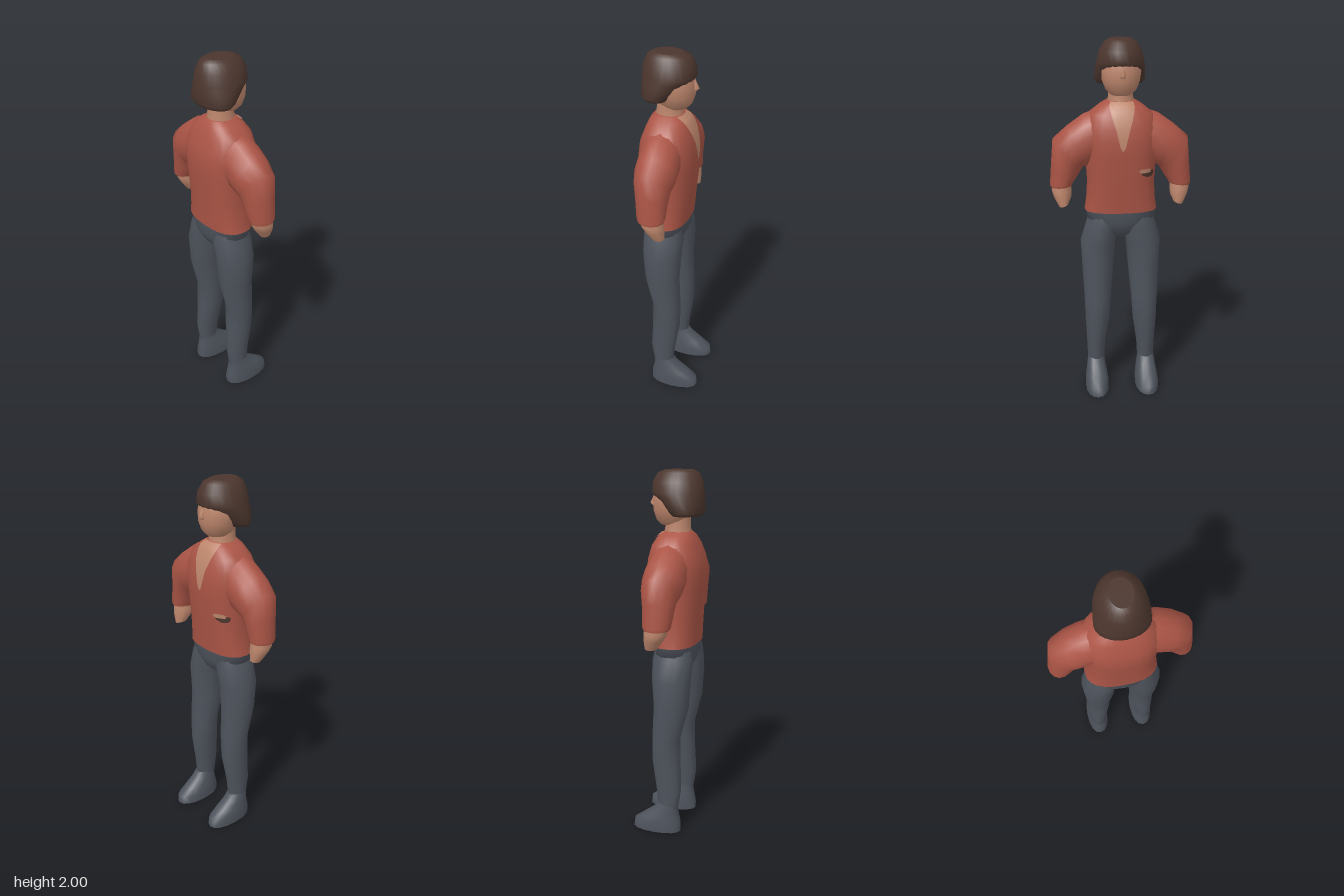
import * as THREE from 'three';

const mat = (name, color) => {
  const m = new THREE.MeshStandardMaterial({ color });
  m.name = name;
  return m;
};

// A ring is [outerX, outerY, innerX, innerY, zFront, zBack]; the figure faces -z.
const level = (y, hx, zf, zb) => [hx, y, -hx, y, zf, zb];
const leg = (y, outer, inner, zf, zb) => [outer, y, inner, y, zf, zb];

// Point on a ring; power below 1 makes the section squarer.
function ringPoint(r, angle, power) {
  const soft = (v) => Math.sign(v) * Math.abs(v) ** power;
  const c = soft(Math.cos(angle)), s = soft(Math.sin(angle));
  return [
    (r[0] + r[2]) / 2 + ((r[0] - r[2]) / 2) * c,
    (r[1] + r[3]) / 2 + ((r[1] - r[3]) / 2) * c,
    (r[4] + r[5]) / 2 + ((r[5] - r[4]) / 2) * s,
  ];
}

// Smooth skin through rings with sharp flat caps, turned so faces point outward.
function loft(rings, { sides = 14, power = 1, side = 1 } = {}) {
  const pos = [], idx = [];
  const addRing = (r) => {
    const start = pos.length / 3;
    for (let i = 0; i < sides; i++) {
      const p = ringPoint(r, (i / sides) * Math.PI * 2, power);
      pos.push(p[0] * side, p[1], p[2]);
    }
    return start;
  };
  const starts = rings.map(addRing);
  for (let k = 0; k + 1 < rings.length; k++) {
    for (let i = 0; i < sides; i++) {
      const j = (i + 1) % sides, a = starts[k], b = starts[k + 1];
      idx.push(a + i, a + j, b + i, a + j, b + j, b + i);
    }
  }
  const cap = (r, flip) => {
    const s = addRing(r), c = pos.length / 3;
    pos.push(((r[0] + r[2]) / 2) * side, (r[1] + r[3]) / 2, (r[4] + r[5]) / 2);
    for (let i = 0; i < sides; i++) {
      const j = (i + 1) % sides;
      idx.push(c, s + (flip ? i : j), s + (flip ? j : i));
    }
  };
  cap(rings[0], false);
  cap(rings[rings.length - 1], true);

  let volume = 0;
  const v = (i) => new THREE.Vector3().fromArray(pos, i * 3);
  for (let t = 0; t < idx.length; t += 3) {
    volume += v(idx[t]).dot(v(idx[t + 1]).cross(v(idx[t + 2])));
  }
  const g = new THREE.BufferGeometry();
  g.setAttribute('position', new THREE.Float32BufferAttribute(pos, 3));
  g.setIndex(volume < 0 ? idx.reverse() : idx);
  g.computeVertexNormals();
  return g;
}

const TORSO_POWER = 0.8;
const torso = [
  level(1.685, 0.075, -0.04, 0.105),
  level(1.665, 0.11, -0.065, 0.125),
  level(1.62, 0.17, -0.092, 0.145),
  level(1.55, 0.195, -0.112, 0.172),
  level(1.48, 0.198, -0.12, 0.182),
  level(1.4, 0.192, -0.118, 0.18),
  level(1.25, 0.184, -0.102, 0.164),
  level(1.15, 0.19, -0.092, 0.157),
  level(1.085, 0.2, -0.085, 0.153),
];

// Point just above the chest at a given height and x.
function chestPoint(x, y) {
  let k = 0;
  while (k < torso.length - 2 && torso[k + 1][1] > y) k++;
  const a = torso[k], b = torso[k + 1], t = (a[1] - y) / (a[1] - b[1]);
  const r = a.map((n, i) => n + (b[i] - n) * t);
  const c = Math.min(1, Math.abs(x / r[0])) ** (1 / TORSO_POWER);
  const s = Math.sqrt(1 - c * c) ** TORSO_POWER;
  return [x, y, (r[4] + r[5]) / 2 - ((r[5] - r[4]) / 2) * s - 0.005];
}

// Thin face following the chest; each row is [y, xMin, xMax].
function chestPatch(rows, cols = 8) {
  const pos = [], idx = [];
  rows.forEach(([y, x0, x1], k) => {
    for (let i = 0; i <= cols; i++) pos.push(...chestPoint(x0 + ((x1 - x0) * i) / cols, y));
    if (!k) return;
    for (let i = 0; i < cols; i++) {
      const a = (k - 1) * (cols + 1) + i, b = a + cols + 1;
      idx.push(a, a + 1, b, a + 1, b + 1, b);
    }
  });
  const g = new THREE.BufferGeometry();
  g.setAttribute('position', new THREE.Float32BufferAttribute(pos, 3));
  g.setIndex(idx);
  g.computeVertexNormals();
  return g;
}

export function createModel() {
  const group = new THREE.Group();
  const shirt = mat('red shirt', 0xab5546);
  const trousers = mat('slate trousers', 0x4e535c);
  const skin = mat('skin', 0xbd866c);
  const hair = mat('brown hair', 0x4c362e);
  const add = (name, geometry, material) => {
    const m = new THREE.Mesh(geometry, material);
    m.name = name;
    group.add(m);
    return m;
  };

  // Head and neck
  add('neck', loft([level(1.8, 0.066, -0.035, 0.1), level(1.71, 0.066, -0.035, 0.1),
    level(1.66, 0.074, -0.045, 0.108)]), skin);
  add('head', loft([
    level(1.95, 0.07, -0.07, 0.1), level(1.9, 0.1, -0.094, 0.12),
    level(1.84, 0.108, -0.102, 0.12), level(1.79, 0.1, -0.1, 0.11),
    level(1.745, 0.082, -0.085, 0.09), level(1.718, 0.055, -0.06, 0.07),
  ], { sides: 18 }), skin);
  add('nose', loft([level(1.865, 0.006, -0.104, -0.08), level(1.828, 0.016, -0.123, -0.08),
    level(1.812, 0.014, -0.108, -0.08)], { sides: 8 }), skin);

  // Bobbed hair: the lower rings draw back to leave the face open
  add('hair', loft([
    level(2.0, 0.058, -0.035, 0.115), level(1.985, 0.085, -0.075, 0.145),
    level(1.94, 0.113, -0.102, 0.165), level(1.885, 0.126, -0.107, 0.172),
    level(1.865, 0.129, -0.09, 0.174), level(1.83, 0.134, -0.055, 0.175),
    level(1.785, 0.135, -0.012, 0.173), level(1.768, 0.122, 0.01, 0.158),
    level(1.785, 0.095, 0.02, 0.13),
  ], { sides: 24 }), hair);

  // Shirt body with open neckline and chest mark
  add('shirtBody', loft(torso, { sides: 24, power: TORSO_POWER }), shirt);
  const neckline = [[1.685, 0.06], [1.665, 0.066], [1.64, 0.062], [1.6, 0.052], [1.55, 0.036],
    [1.5, 0.024], [1.46, 0.014], [1.44, 0.003]];
  add('openNeckline', chestPatch(neckline.map(([y, w]) => [y, -w, w])), skin);
  add('chestMarkUpper', chestPatch([[1.335, -0.14, -0.1], [1.325, -0.155, -0.085],
    [1.312, -0.15, -0.095]]), skin);
  add('chestMarkLower', chestPatch([[1.323, -0.165, -0.135], [1.312, -0.168, -0.095],
    [1.298, -0.165, -0.11], [1.288, -0.155, -0.13]]), hair);

  // Hips joining the two legs
  add('hips', loft([
    level(1.09, 0.199, -0.083, 0.152), level(1.02, 0.18, -0.078, 0.148),
    level(0.96, 0.1, -0.05, 0.12), level(0.925, 0.035, -0.01, 0.08),
  ], { sides: 20, power: 0.85 }), trousers);

  for (const side of [1, -1]) {
    const label = side > 0 ? 'left' : 'right';

    add(label + 'Sleeve', loft([
      [0.1, 1.65, 0.11, 1.36, -0.075, 0.135],
      [0.2, 1.615, 0.18, 1.33, -0.08, 0.138],
      [0.285, 1.555, 0.205, 1.325, -0.08, 0.136],
      [0.365, 1.485, 0.215, 1.31, -0.067, 0.122],
      [0.376, 1.36, 0.235, 1.275, -0.055, 0.11],
      [0.386, 1.235, 0.26, 1.24, -0.05, 0.1],
      [0.384, 1.22, 0.264, 1.228, -0.045, 0.095],
    ], { side }), shirt);

    add(label + 'Hand', loft([
      [0.37, 1.26, 0.275, 1.26, -0.035, 0.085],
      [0.378, 1.2, 0.27, 1.2, -0.042, 0.08],
      [0.368, 1.165, 0.272, 1.165, -0.044, 0.06],
      [0.34, 1.112, 0.29, 1.125, -0.042, 0.025],
    ], { side, sides: 10 }), skin);

    add(label + 'Leg', loft([
      leg(1.06, 0.175, 0.01, -0.065, 0.14), leg(1.0, 0.195, 0.005, -0.075, 0.148),
      leg(0.9, 0.225, 0.028, -0.07, 0.145), leg(0.74, 0.218, 0.042, -0.06, 0.135),
      leg(0.56, 0.21, 0.058, -0.068, 0.09), leg(0.42, 0.206, 0.068, -0.068, 0.092),
      leg(0.25, 0.198, 0.093, -0.042, 0.1), leg(0.13, 0.194, 0.1, -0.03, 0.082),
    ], { side }), trousers);

    add(label + 'Shoe', loft([
      leg(0.17, 0.194, 0.1, -0.03, 0.082), leg(0.13, 0.2, 0.095, -0.06, 0.082),
      leg(0.085, 0.207, 0.086, -0.12, 0.09), leg(0.045, 0.214, 0.08, -0.176, 0.1),
      leg(0.0, 0.214, 0.08, -0.182, 0.1),
    ], { side, sides: 16, power: 0.9 }), trousers);
  }
  return group;
}
